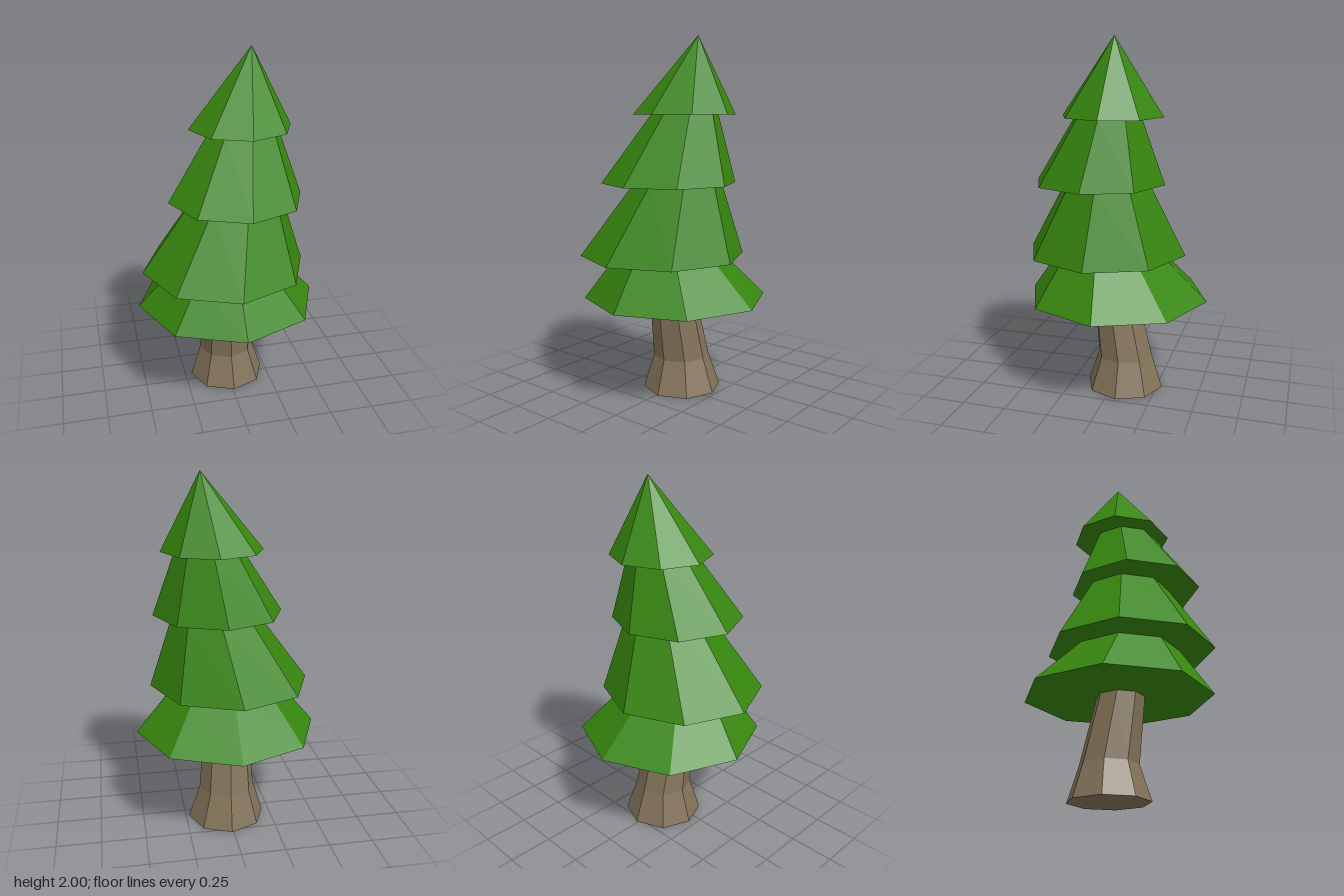
import * as THREE from 'three';

const SIDES = 8;
const green = new THREE.MeshStandardMaterial({ color: 0x37870f, flatShading: true });
const brown = new THREE.MeshStandardMaterial({ color: 0x84745a, flatShading: true });

// Eight-sided loft through rings [y, radius, centreX, centreZ], closed underneath
function leaningLoft(name, rings, material) {
  const profile = [
    new THREE.Vector2(0, rings[0][0]),
    ...rings.map(([y, r]) => new THREE.Vector2(r, y)),
  ];
  const geometry = new THREE.LatheGeometry(profile, SIDES);

  // Shift every ring onto its own centre so that the stack leans
  const pos = geometry.attributes.position;
  for (let i = 0; i < pos.count; i++) {
    const ring = rings.find(([y]) => Math.abs(y - pos.getY(i)) < 1e-4);
    pos.setX(i, pos.getX(i) + ring[2]);
    pos.setZ(i, pos.getZ(i) + ring[3]);
  }
  const flat = geometry.toNonIndexed();
  flat.computeVertexNormals();
  const mesh = new THREE.Mesh(flat, material);
  mesh.name = name;
  return mesh;
}

export function createModel() {
  const tree = new THREE.Group();
  tree.name = 'pineTree';

  // Trunk with a flared foot
  tree.add(leaningLoft('trunk', [
    [0, 0.222, 0.01, -0.058],
    [0.19, 0.16, 0.006, -0.058],
    [0.55, 0.132, -0.007, 0.004],
  ], brown));

  // Foliage tiers, each ending at the underside of the next
  const tiers = [
    [[0.55, 0.518, 0, -0.01], [0.8, 0.3, -0.005, 0.035]],
    [[0.8, 0.46, -0.033, 0.065], [1.21, 0.243, 0.055, 0.035]],
    [[1.21, 0.37, 0.03, 0.085], [1.58, 0.185, 0.09, 0.02]],
    [[1.58, 0.283, 0.073, 0], [2, 0, 0.14, -0.03]],
  ];
  tiers.forEach((rings, i) => tree.add(leaningLoft(`foliageTier${i + 1}`, rings, green)));

  return tree;
}
